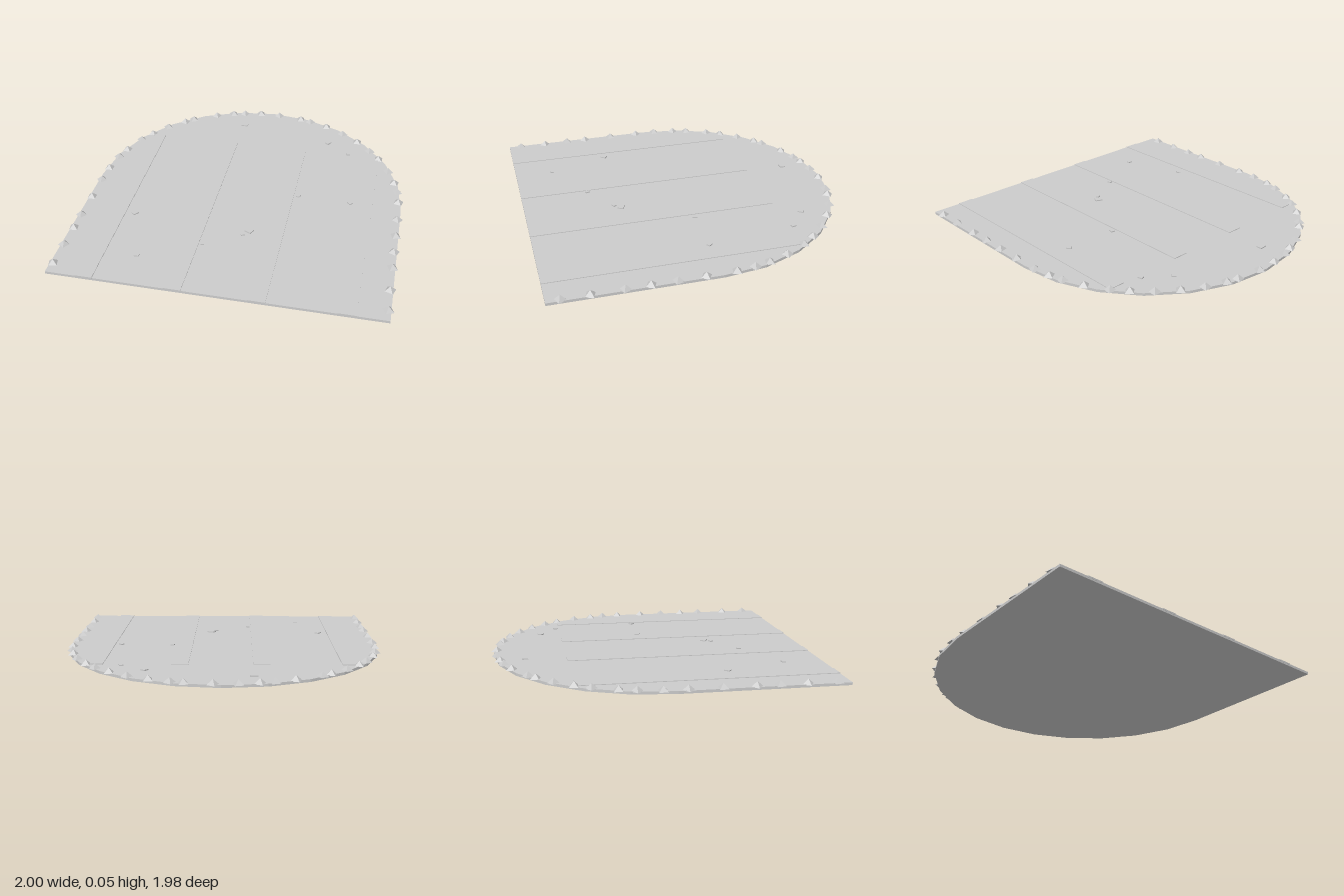
import * as THREE from 'three';

const HALF = 0.98;      // half width, also the arch radius
const THICK = 0.016;    // board thickness
const material = new THREE.MeshStandardMaterial({ color: 0xcccccc, flatShading: true });

function part(parent, name, geometry, x, y, z, turn = 0) {
  const mesh = new THREE.Mesh(geometry, material);
  mesh.name = name;
  mesh.position.set(x, y, z);
  mesh.rotation.y = turn;
  parent.add(mesh);
}

function group(parent, name) {
  const g = new THREE.Group();
  g.name = name;
  parent.add(g);
  return g;
}

export function createModel() {
  const model = new THREE.Group();
  model.name = 'archedPanel';

  // Flat board: straight sides and a faceted half-round end
  const outline = new THREE.Shape();
  outline.moveTo(-HALF, -HALF);
  outline.lineTo(HALF, -HALF);
  for (let i = 0; i <= 12; i++) {
    const a = (i / 12) * Math.PI;
    outline.lineTo(HALF * Math.cos(a), HALF * Math.sin(a));
  }
  outline.closePath();
  const board = new THREE.ExtrudeGeometry(outline, { depth: THICK, bevelEnabled: false });
  board.rotateX(-Math.PI / 2);
  part(model, 'board', board, 0, 0, 0);

  // Thin raised strips running back from the straight edge
  const strips = group(model, 'strips');
  const stripGeometry = new THREE.BoxGeometry(0.1, 0.01, 1.52);
  for (const x of [-0.75, -0.23, 0.25, 0.75]) {
    part(strips, 'strip', stripGeometry, x, 0.015, HALF - 0.759);
  }

  // Small flat chips scattered over the surface: x, z, size
  const chips = group(model, 'chips');
  [
    [-0.51, 0.74, 0.03], [-0.64, 0.36, 0.035], [-0.16, 0.56, 0.025], [0.09, 0.39, 0.045],
    [0.06, 0.43, 0.025], [0.33, -0.02, 0.03], [0.66, -0.01, 0.03], [-0.18, -0.79, 0.045],
    [0.44, -0.67, 0.035], [0.59, -0.56, 0.03],
  ].forEach(([x, z, size], i) => {
    part(chips, 'chip', new THREE.BoxGeometry(size, 0.012, size * 0.8), x, 0.017, z, i * 0.9);
  });

  // Four-sided pointed studs, unevenly spaced and turned, along the sides and the arch
  const studs = group(model, 'studs');
  const studGeometry = new THREE.ConeGeometry(0.037, 0.032, 4);
  const R = 0.962;
  let count = 0;
  const stud = (x, z) => part(studs, 'stud', studGeometry, x, 0.029, z, (count++ * 2.4) % 1.57);
  for (const z of [0.06, 0.25, 0.44, 0.57, 0.73, 0.9]) stud(-R, z);
  for (const z of [0.1, 0.26, 0.41, 0.55, 0.74, 0.9]) stud(R, z);
  for (const degrees of [
    4.5, 11.3, 17, 25, 34, 40.5, 48.6, 57, 65.4, 73.2, 77.7, 87.4,
    95.5, 102.6, 107.5, 115, 125.5, 129.5, 137.7, 145.7, 152, 161, 167, 175.3,
  ]) {
    const a = THREE.MathUtils.degToRad(degrees);
    stud(R * Math.cos(a), -R * Math.sin(a));
  }

  return model;
}
